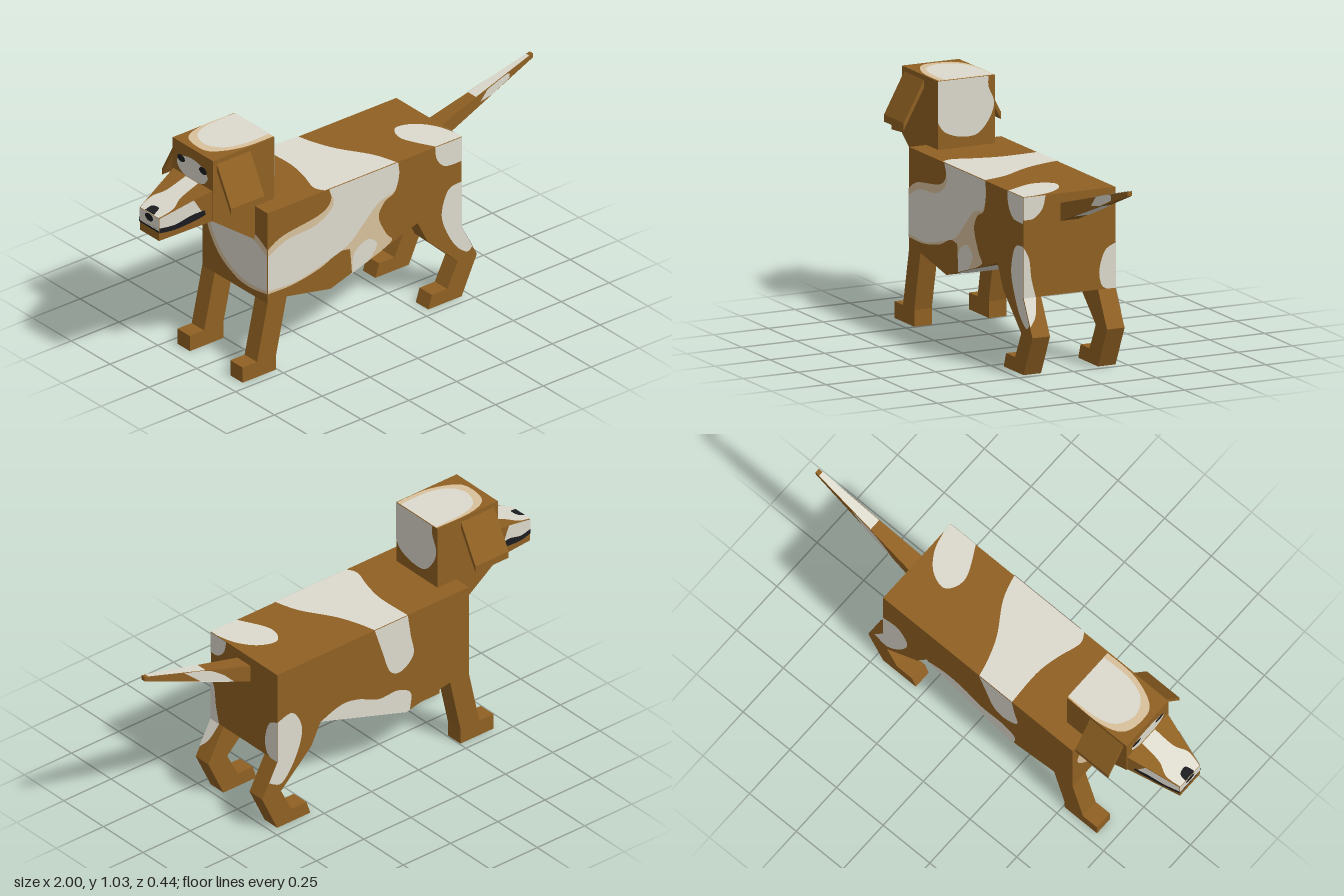
import * as THREE from 'three';

const flat = (name, color, extra = {}) => {
  const m = new THREE.MeshStandardMaterial({ color, ...extra });
  m.name = name;
  return m;
};

export function createModel() {
  const group = new THREE.Group();
  const brown = flat('brown coat', 0x8f6023);
  const cream = flat('cream patch', 0xdcd9cd, { side: THREE.DoubleSide });
  const tan = flat('tan patch edge', 0xd8c19b, { side: THREE.DoubleSide });
  const black = flat('black', 0x1b1c20, { side: THREE.DoubleSide });

  const add = (name, geo, mat = brown) => {
    const mesh = new THREE.Mesh(geo, mat);
    mesh.name = name;
    group.add(mesh);
    return mesh;
  };

  // Side outline (x, y) extruded from z0 to z1
  const slab = (name, pts, z0, z1) => {
    const shape = new THREE.Shape(pts.map(p => new THREE.Vector2(...p)));
    const geo = new THREE.ExtrudeGeometry(shape, { depth: z1 - z0, bevelEnabled: false });
    return add(name, geo.translate(0, 0, z0));
  };

  // Tapered block along x; each end is [x, bottom, top, half width]
  const taper = (name, a, b) => {
    const geo = new THREE.BoxGeometry(1, 1, 1).toNonIndexed();
    const p = geo.attributes.position;
    for (let i = 0; i < p.count; i++) {
      const e = p.getX(i) < 0 ? a : b;
      p.setXYZ(i, e[0], p.getY(i) < 0 ? e[1] : e[2], Math.sign(p.getZ(i)) * e[3]);
    }
    geo.computeVertexNormals();
    return add(name, geo);
  };

  // Flat painted patch: runs are smoothed, joined by straight lines, then mapped onto a face
  const paint = (name, mat, map, ...runs) => {
    const pts = runs.flatMap(run => {
      const v = run.map(p => new THREE.Vector2(...p));
      return v.length > 2 ? new THREE.SplineCurve(v).getPoints(v.length * 5) : v;
    });
    const geo = new THREE.ShapeGeometry(new THREE.Shape(pts));
    const p = geo.attributes.position;
    for (let i = 0; i < p.count; i++) p.setXYZ(i, ...map(p.getX(i), p.getY(i)));
    geo.computeVertexNormals();
    return add(name, geo, mat);
  };
  const oval = (cx, cy, rx, ry) => Array.from({ length: 9 }, (_, i) =>
    [cx + rx * Math.cos(i * Math.PI / 4), cy + ry * Math.sin(i * Math.PI / 4)]);

  // Body, head and neck
  slab('body', [[-0.55, 0.74], [-0.55, 0.32], [-0.45, 0.32], [-0.22, 0.275],
    [0.235, 0.42], [0.465, 0.32], [0.465, 0.74]], -0.21, 0.21);
  slab('head and neck', [[-0.77, 1.025], [-0.77, 0.745], [-0.55, 0.585], [-0.545, 0.585],
    [-0.545, 0.735], [-0.45, 0.735], [-0.45, 1.025]], -0.13, 0.13);
  const snout = [[-0.997, 0.705, 0.808, 0.062], [-0.77, 0.745, 0.885, 0.125]];
  const tail = [[0.465, 0.625, 0.7, 0.041], [1, 0.835, 0.855, 0.01]];
  taper('muzzle', ...snout);
  taper('tail', ...tail);

  // Legs and hanging ears, one of each per side
  for (const s of [1, -1]) {
    const z0 = s > 0 ? 0.13 : -0.21, z1 = z0 + 0.08;
    slab('front leg', [[-0.55, 0.32], [-0.605, 0.07], [-0.68, 0.07], [-0.68, 0],
      [-0.505, 0], [-0.505, 0.07], [-0.45, 0.32]], z0, z1);
    slab('hind leg', [[0.235, 0.42], [0.285, 0.32], [0.445, 0.17], [0.39, 0.06], [0.31, 0.06],
      [0.29, 0], [0.465, 0], [0.545, 0.17], [0.465, 0.32]], z0, z1);
    const ear = slab('ear', [[0.13, 1.005], [0.222, 0.835], [0.222, 0.805], [0.13, 0.972]]
      .map(([z, y]) => [-s * z, y]), -0.75, -0.575);
    ear.geometry.rotateY(Math.PI / 2);
  }

  // Face maps, lifted slightly from the surface
  const E = 0.002;
  const side = (s, l = 1) => (x, y) => [x, y, s * (0.21 + E * l)];
  const top = (y, l = 1) => (x, z) => [x, y + E * l, z];
  const end = x => (z, y) => [x, y, z];
  const mix = ([a, b], k) => x => a[k] + (b[k] - a[k]) * (x - a[0]) / (b[0] - a[0]);
  const flank = (part, s, l = 1) => (x, y) => [x, y, s * (mix(part, 3)(x) + E * l)];
  const upper = (part, l = 1) => (x, z) => [x, mix(part, 2)(x) + E * l, z];
  const lower = part => (x, z) => [x, mix(part, 1)(x) - E, z];

  // Left flank patches
  paint('flank patch edge', tan, side(1),
    [[-0.23, 0.74], [-0.22, 0.685], [-0.28, 0.64], [-0.47, 0.61], [-0.55, 0.57]],
    [[-0.55, 0.365], [-0.42, 0.365], [-0.28, 0.39], [-0.18, 0.43], [-0.12, 0.425]], [[-0.11, 0.31]],
    [[0.04, 0.358], [0.1, 0.39], [0.07, 0.43], [0.03, 0.52], [0.06, 0.58], [0.115, 0.61],
      [0.135, 0.68], [0.13, 0.74]]);
  paint('flank patch', cream, side(1, 2),
    [[-0.23, 0.74], [-0.21, 0.66], [-0.3, 0.6], [-0.45, 0.585], [-0.55, 0.54]],
    [[-0.55, 0.38], [-0.4, 0.375], [-0.25, 0.41], [-0.13, 0.45], [-0.05, 0.52], [0.03, 0.59],
      [0.11, 0.615], [0.135, 0.68], [0.13, 0.74]]);
  paint('lower flank patch', cream, side(1, 2),
    [[-0.11, 0.31], [-0.1, 0.4], [-0.03, 0.44], [0.02, 0.4], [-0.02, 0.34]]);
  paint('rump patch', cream, side(1),
    [[0.325, 0.74], [0.335, 0.68], [0.38, 0.635], [0.465, 0.63]], [[0.465, 0.74]]);
  paint('thigh patch', cream, side(1),
    [[0.465, 0.535], [0.395, 0.52], [0.36, 0.43], [0.375, 0.35], [0.43, 0.25], [0.49, 0.2],
      [0.52, 0.215]], [[0.465, 0.32]]);

  // Right flank patches
  paint('saddle patch', cream, side(-1),
    [[-0.05, 0.74], [-0.09, 0.62], [-0.13, 0.51], [-0.19, 0.485], [-0.255, 0.54],
      [-0.24, 0.64], [-0.225, 0.74]]);
  paint('thigh patch', cream, side(-1),
    [[0.465, 0.51], [0.385, 0.525], [0.335, 0.43], [0.366, 0.31], [0.44, 0.21], [0.51, 0.235]],
    [[0.465, 0.32]]);
  paint('lower flank patch', cream, side(-1),
    [[0.235, 0.42], [0.13, 0.455], [0.04, 0.445], [-0.07, 0.4], [-0.17, 0.4], [-0.24, 0.36],
      [-0.235, 0.278]], [[-0.22, 0.275]]);

  // Back and rear patches
  paint('back patch', cream, top(0.74),
    [[-0.225, -0.21], [-0.22, -0.05], [-0.24, 0.06], [-0.27, 0.16], [-0.25, 0.21]],
    [[0.125, 0.21], [0.09, 0.1], [0.01, -0.03], [-0.03, -0.13], [-0.05, -0.21]]);
  paint('rump patch', cream, top(0.74),
    [[0.33, 0.21], [0.265, 0.07], [0.3, -0.015], [0.38, 0.005], [0.44, 0.08], [0.465, 0.17]],
    [[0.465, 0.21]]);
  const rear = end(0.465 + E);
  paint('rump patch', cream, rear,
    [[0.11, 0.74], [0.125, 0.685], [0.165, 0.648], [0.21, 0.645]], [[0.21, 0.74]]);
  paint('thigh patch', cream, rear,
    [[0.21, 0.53], [0.185, 0.48], [0.175, 0.4], [0.155, 0.32]], [[0.21, 0.32]]);
  paint('thigh patch', cream, rear,
    [[-0.21, 0.51], [-0.16, 0.48], [-0.135, 0.4], [-0.145, 0.34], [-0.17, 0.32]], [[-0.21, 0.32]]);
  paint('hock patch', cream, (z, y) => [0.467 + (0.32 - y) * 0.533, y, z],
    [[0.155, 0.32], [0.175, 0.25], [0.21, 0.21]], [[0.21, 0.32]]);

  // Belly and chest patches
  paint('belly patch', cream, (x, z) => [x, 0.273 + (x + 0.22) * 0.3187, z],
    [[-0.11, 0.21], [-0.16, 0.18], [-0.22, 0.12]], [[-0.22, -0.21], [0.235, -0.21]],
    [[0.235, 0], [0.15, 0.13], [0.04, 0.21]]);
  paint('belly patch', cream, (x, z) => [x, 0.273 - (x + 0.22) * 0.1957, z],
    [[-0.22, 0.12], [-0.25, 0.05], [-0.26, -0.1], [-0.24, -0.21]], [[-0.22, -0.21]]);
  paint('chest patch edge', tan, end(-0.55 - E),
    [[0.21, 0.57], [0.1, 0.62], [-0.14, 0.63], [-0.18, 0.55], [-0.11, 0.43], [0, 0.365],
      [0.1, 0.35], [0.21, 0.365]]);
  paint('chest patch', cream, end(-0.55 - 2 * E),
    [[0.21, 0.54], [0.1, 0.59], [-0.12, 0.6], [-0.15, 0.54], [-0.09, 0.45], [0, 0.39],
      [0.1, 0.37], [0.21, 0.38]]);

  // Head patches and eyes
  paint('crown patch edge', tan, top(1.025),
    [[-0.45, -0.125], [-0.62, -0.127], [-0.72, -0.09], [-0.745, 0], [-0.72, 0.07],
      [-0.6, 0.12], [-0.45, 0.125]]);
  paint('crown patch', cream, top(1.025, 2),
    [[-0.45, -0.12], [-0.6, -0.115], [-0.68, -0.08], [-0.71, 0], [-0.67, 0.07],
      [-0.58, 0.1], [-0.45, 0.1]]);
  paint('nape patch', cream, end(-0.45 + E),
    [[0.13, 0.85], [0.1, 0.81], [0.03, 0.785], [-0.05, 0.79], [-0.105, 0.85], [-0.125, 0.915],
      [-0.1, 0.98], [-0.1, 1.025]], [[0.13, 1.025]]);
  paint('brow patch', cream, end(-0.77 - E), oval(0, 0.93, 0.1, 0.05));
  for (const s of [1, -1]) {
    paint('eye', black, end(-0.77 - 2 * E), oval(s * 0.07, 0.955, 0.025, 0.016));
    // Muzzle sides
    paint('cheek patch', cream, flank(snout, s),
      [[-0.997, 0.808], [-0.997, 0.75]], [[-0.9, 0.765], [-0.82, 0.79], [-0.83, 0.825], [-0.85, 0.86]]);
    paint('mouth', black, flank(snout, s, 2),
      [[-0.997, 0.742], [-0.93, 0.745], [-0.84, 0.768], [-0.8, 0.785]],
      [[-0.805, 0.805], [-0.86, 0.795], [-0.93, 0.768], [-0.997, 0.764]]);
  }

  // Muzzle top and tip
  paint('muzzle blaze', cream, upper(snout), [[-0.997, -0.06], [-0.93, -0.07], [-0.87, -0.045], [-0.775, -0.04]],
    [[-0.775, 0.04], [-0.87, 0.045], [-0.93, 0.07], [-0.997, 0.06]]);
  paint('nose', black, upper(snout, 2), [[-0.997, -0.028], [-0.965, -0.022], [-0.96, 0.015], [-0.997, 0.028]]);
  const tip = end(-0.997 - E / 2);
  paint('muzzle tip', cream, tip, [[-0.062, 0.75], [0.062, 0.75]], [[0.062, 0.808], [-0.062, 0.808]]);
  paint('mouth', black, tip, [[-0.062, 0.742], [0.062, 0.742]], [[0.062, 0.764], [-0.062, 0.764]]);
  paint('nose', black, end(-0.997 - E), oval(0, 0.79, 0.026, 0.017));

  // Tail patches
  paint('tail patch', cream, upper(tail), [[0.69, -0.026], [0.98, -0.011]], [[0.98, 0.011], [0.69, 0.026]]);
  paint('tail patch', cream, flank(tail, 1), [[0.71, 0.738], [0.78, 0.75]], [[0.87, 0.79], [0.86, 0.813], [0.75, 0.782]]);
  paint('tail patch', cream, flank(tail, -1), [[0.55, 0.66], [0.72, 0.727]], [[0.8, 0.797], [0.68, 0.762], [0.6, 0.71]]);
  paint('tail patch', cream, lower(tail), [[0.57, -0.035], [0.8, -0.021]], [[0.8, 0.021], [0.57, 0.035]]);

  return group;
}
